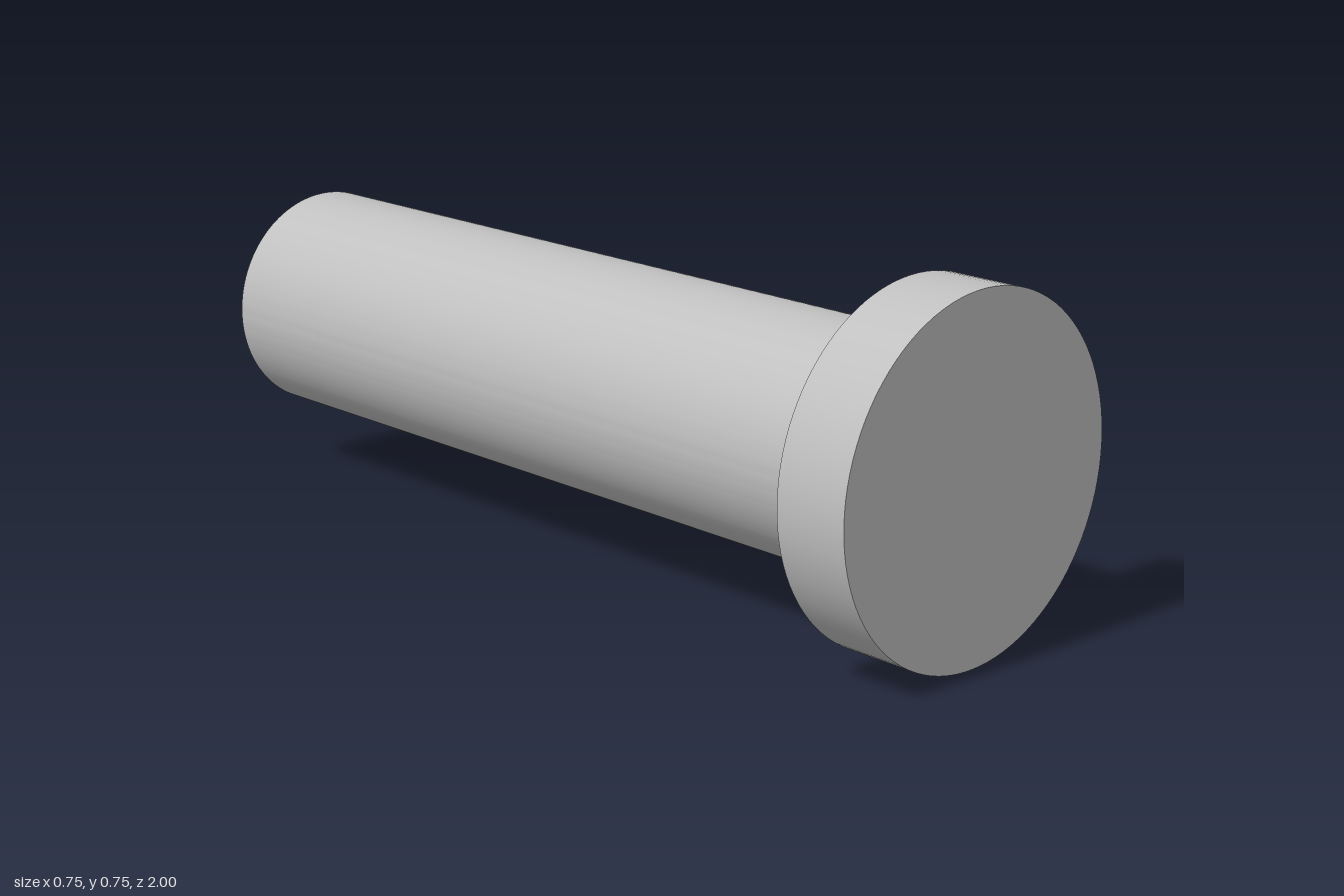
import * as THREE from 'three';
import { toCreasedNormals } from 'three/addons/utils/BufferGeometryUtils.js';

const HEAD_RADIUS = 0.375;
const SHAFT_RADIUS = 0.25;
const FLAT_X = 0.2; // distance of the shaft's flat from its axis
const HEAD_BACK = 0.835;

export function createModel() {
  const group = new THREE.Group();
  const steel = new THREE.MeshStandardMaterial({ color: 0xc0c0c0 });
  steel.name = 'steel grey';

  // Round head: a short disc facing the front
  const headDepth = 1 - HEAD_BACK;
  const headGeometry = new THREE.CylinderGeometry(HEAD_RADIUS, HEAD_RADIUS, headDepth, 96);
  headGeometry.rotateX(Math.PI / 2);
  const head = new THREE.Mesh(headGeometry, steel);
  head.name = 'head';
  head.position.set(0, HEAD_RADIUS, HEAD_BACK + headDepth / 2);
  group.add(head);

  // D-shaped shaft: a circle cut by a flat on the +x side
  const cut = Math.acos(FLAT_X / SHAFT_RADIUS);
  const profile = new THREE.Shape();
  profile.absarc(0, 0, SHAFT_RADIUS, cut, Math.PI * 2 - cut, false);
  profile.closePath();
  const shaftGeometry = new THREE.ExtrudeGeometry(profile, {
    depth: HEAD_BACK + 1,
    bevelEnabled: false,
    curveSegments: 80,
  });
  const shaft = new THREE.Mesh(toCreasedNormals(shaftGeometry, 0.4), steel);
  shaft.name = 'shaft';
  shaft.position.set(0, HEAD_RADIUS, -1);
  group.add(shaft);

  return group;
}
